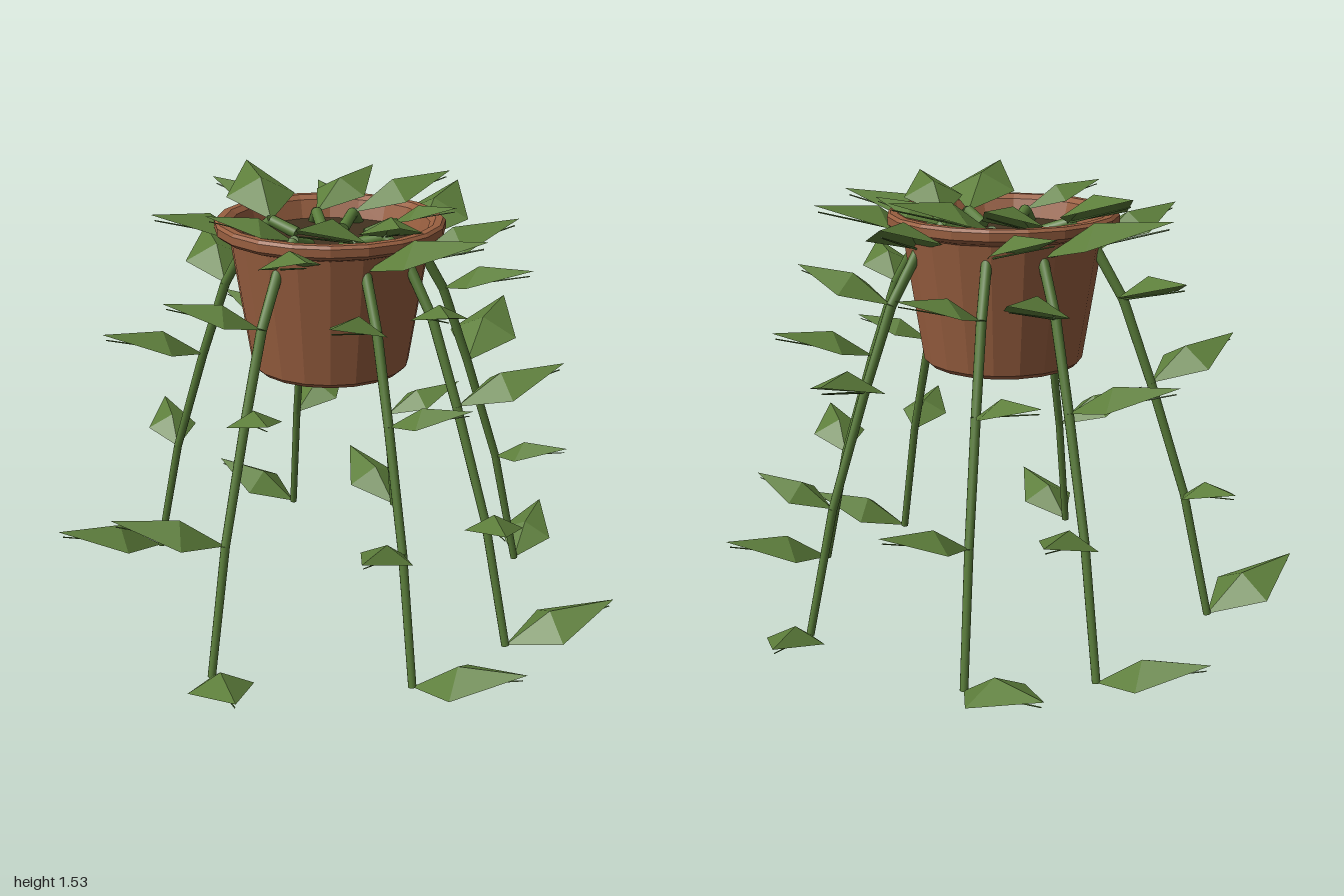
import * as THREE from 'three';

const mat = (name, color, extra = {}) => {
  const m = new THREE.MeshStandardMaterial({ color, ...extra });
  m.name = name;
  return m;
};

// Round stick between two points
function stick(a, b, ra, rb, sides, material, name) {
  const dir = b.clone().sub(a);
  const mesh = new THREE.Mesh(new THREE.CylinderGeometry(rb, ra, dir.length(), sides), material);
  mesh.position.copy(a).add(b).multiplyScalar(0.5);
  mesh.quaternion.setFromUnitVectors(new THREE.Vector3(0, 1, 0), dir.normalize());
  mesh.name = name;
  return mesh;
}

// Kite-shaped leaf pointing along +z, folded around a raised middle point
function leafGeometry() {
  const base = [0, 0, 0], tip = [0, 0.33, 1], mid = [0, 0.29, 0.4];
  const left = [0.31, 0.13, 0.41], right = [-0.31, 0.13, 0.41];
  const faces = [base, mid, left, left, mid, tip, base, right, mid, mid, right, tip];
  const g = new THREE.BufferGeometry();
  g.setAttribute('position', new THREE.Float32BufferAttribute(faces.flat(), 3));
  g.computeVertexNormals();
  return g;
}

export function createModel() {
  const terracotta = mat('terracotta', 0x995f40, { flatShading: true });
  const soilBrown = mat('soil brown', 0x433321, { flatShading: true });
  const leafGreen = mat('leaf green', 0x5d7e3b, { flatShading: true, side: THREE.DoubleSide });
  const stemGreen = mat('stem green', 0x587b39);

  const model = new THREE.Group();
  model.name = 'hangingPlant';
  const plant = new THREE.Group();
  plant.name = 'plant';
  plant.position.set(-0.03, 0, -0.02);
  model.add(plant);

  // Pot with flared rim and hollow top
  const profile = [
    [0, 0.91], [0.265, 0.91], [0.28, 0.925], [0.35, 1.378], [0.385, 1.39], [0.4, 1.403],
    [0.4, 1.43], [0.39, 1.44], [0.365, 1.44], [0.345, 1.425], [0.322, 1.35],
  ].map(([r, y]) => new THREE.Vector2(r, y));
  const pot = new THREE.Mesh(new THREE.LatheGeometry(profile, 20), terracotta);
  pot.name = 'pot';
  plant.add(pot);

  // Soil surface
  const soil = new THREE.Mesh(new THREE.CylinderGeometry(0.326, 0.326, 0.02, 20), soilBrown);
  soil.position.y = 1.35;
  soil.name = 'soil';
  plant.add(soil);

  // Each vine: heading in degrees and the lengths of its leaves from tip to root
  const vines = [
    [4, [0.36, 0.37, 0.30, 0.32, 0.34, 0.29]],
    [57, [0.385, 0.30, 0.28, 0.33, 0.41, 0.40]],
    [90, [0.40, 0.32, 0.38, 0.31, 0.39, 0.35]],
    [142.5, [0.335, 0.29, 0.42, 0.35, 0.42, 0.25]],
    [195, [0.39, 0.32, 0.32, 0.31, 0.34, 0.38]],
    [228, [0.37, 0.33, 0.36, 0.37, 0.43, 0.35]],
    [280, [0.41, 0.30, 0.38, 0.38, 0.36, 0.41]],
  ];
  // Vine nodes as distance from the middle (z) and height (y), tip to root
  const nodes = [[0.76, 0.01], [0.66, 0.46], [0.53, 0.86], [0.425, 1.15], [0.32, 1.33], [0.23, 1.405], [0.13, 1.37]]
    .map(([r, y]) => new THREE.Vector3(0, y, r));
  const leafShape = leafGeometry();

  for (const [heading, lengths] of vines) {
    const vine = new THREE.Group();
    vine.name = 'vine';
    vine.rotation.y = THREE.MathUtils.degToRad(heading);
    plant.add(vine);

    // Stem pieces, thinner towards the tip
    for (let i = 0; i < nodes.length - 1; i++) {
      vine.add(stick(nodes[i], nodes[i + 1], 0.014 + i * 0.0012, 0.0152 + i * 0.0012, 12, stemGreen, 'stem'));
    }

    // Leaves alternate left and right of the stem, each with a thin rib below
    lengths.forEach((length, i) => {
      const leaf = new THREE.Group();
      leaf.name = 'leaf';
      leaf.position.copy(nodes[i]);
      leaf.rotation.y = THREE.MathUtils.degToRad(i % 2 ? -49 : 49);
      leaf.scale.setScalar(length);
      const blade = new THREE.Mesh(leafShape, leafGreen);
      blade.name = 'leafBlade';
      leaf.add(blade);
      leaf.add(stick(new THREE.Vector3(), new THREE.Vector3(0, 0.27, 0.96), 0.01, 0.006, 6, stemGreen, 'leafRib'));
      vine.add(leaf);
    });
  }
  return model;
}
